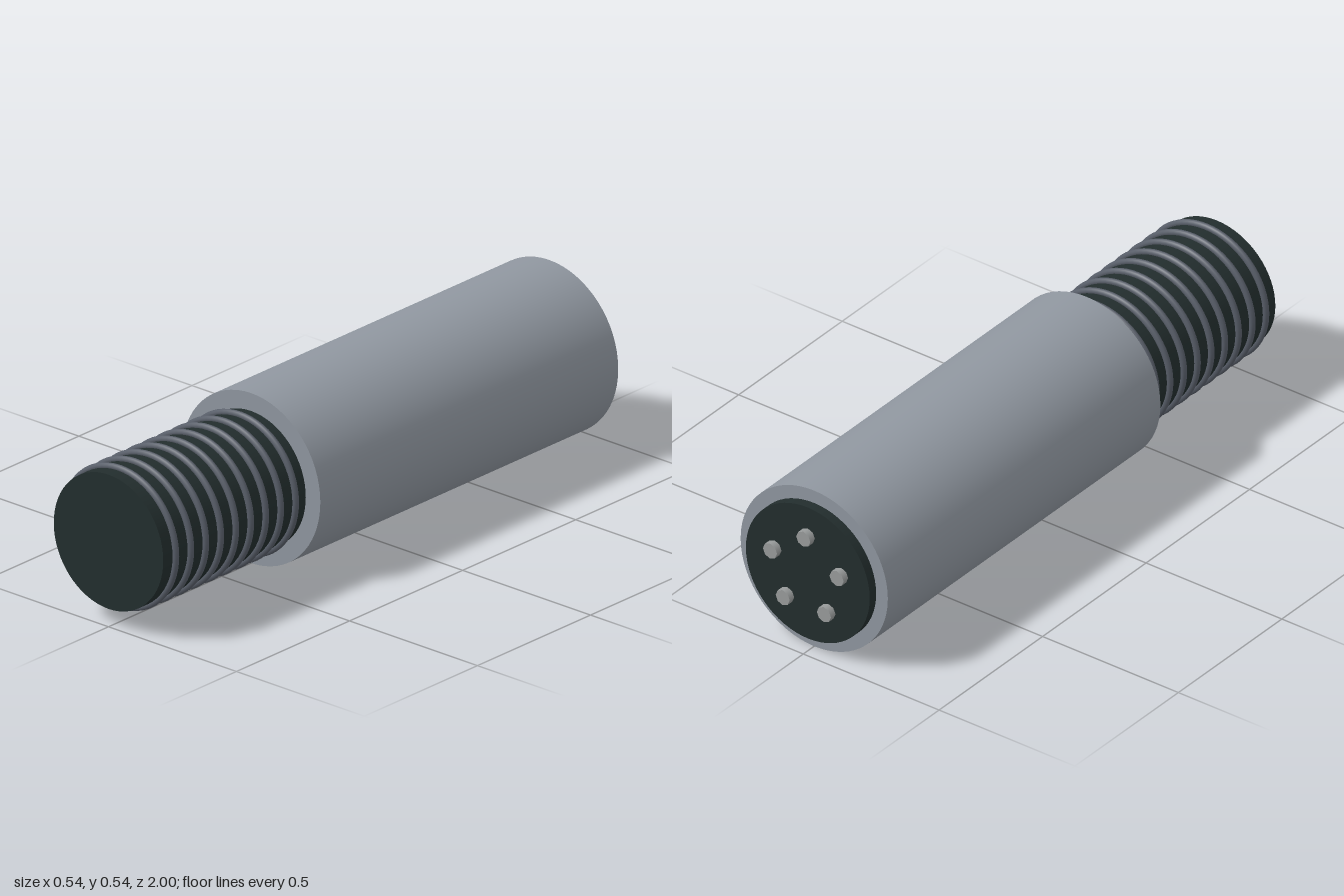
import * as THREE from 'three';

const AXIS_Y = 0.271;

export function createModel() {
  const model = new THREE.Group();
  model.name = 'cableConnector';

  const mat = (name, color) => {
    const m = new THREE.MeshStandardMaterial({ color });
    m.name = name;
    return m;
  };
  const shellGrey = mat('shell grey', 0x8f969f);
  const darkPlastic = mat('dark plastic', 0x222d2d);
  const ringGrey = mat('ring grey', 0x585e69);
  const pinMetal = mat('pin metal', 0x989b9b);

  // Everything lies along z at the height of the axis
  const add = (name, geometry, material, x, y, z) => {
    const mesh = new THREE.Mesh(geometry, material);
    mesh.name = name;
    mesh.position.set(x, AXIS_Y + y, z);
    model.add(mesh);
  };
  const rod = (name, radius, zBack, zFront, sides, material, x = 0, y = 0) => {
    const geometry = new THREE.CylinderGeometry(radius, radius, zFront - zBack, sides);
    geometry.rotateX(Math.PI / 2);
    add(name, geometry, material, x, y, (zBack + zFront) / 2);
  };

  // Main shell, threaded neck and rear insert
  rod('shell', 0.271, -0.947, 0.37, 64, shellGrey);
  rod('neck', 0.214, 0.35, 1, 64, darkPlastic);
  rod('rearInsert', 0.228, -0.978, -0.93, 64, darkPlastic);

  // Raised rings around the neck
  const ring = new THREE.TorusGeometry(0.2175, 0.0105, 10, 64);
  for (let i = 0; i < 9; i++) add('neckRing', ring, ringGrey, 0, 0, 0.949 - i * 0.0662);

  // Five contact pins in a circle, one at the top
  for (let i = 0; i < 5; i++) {
    const a = (i / 5) * Math.PI * 2;
    rod('pin', 0.026, -1, -0.96, 8, pinMetal, Math.sin(a) * 0.129, Math.cos(a) * 0.129);
  }
  return model;
}
